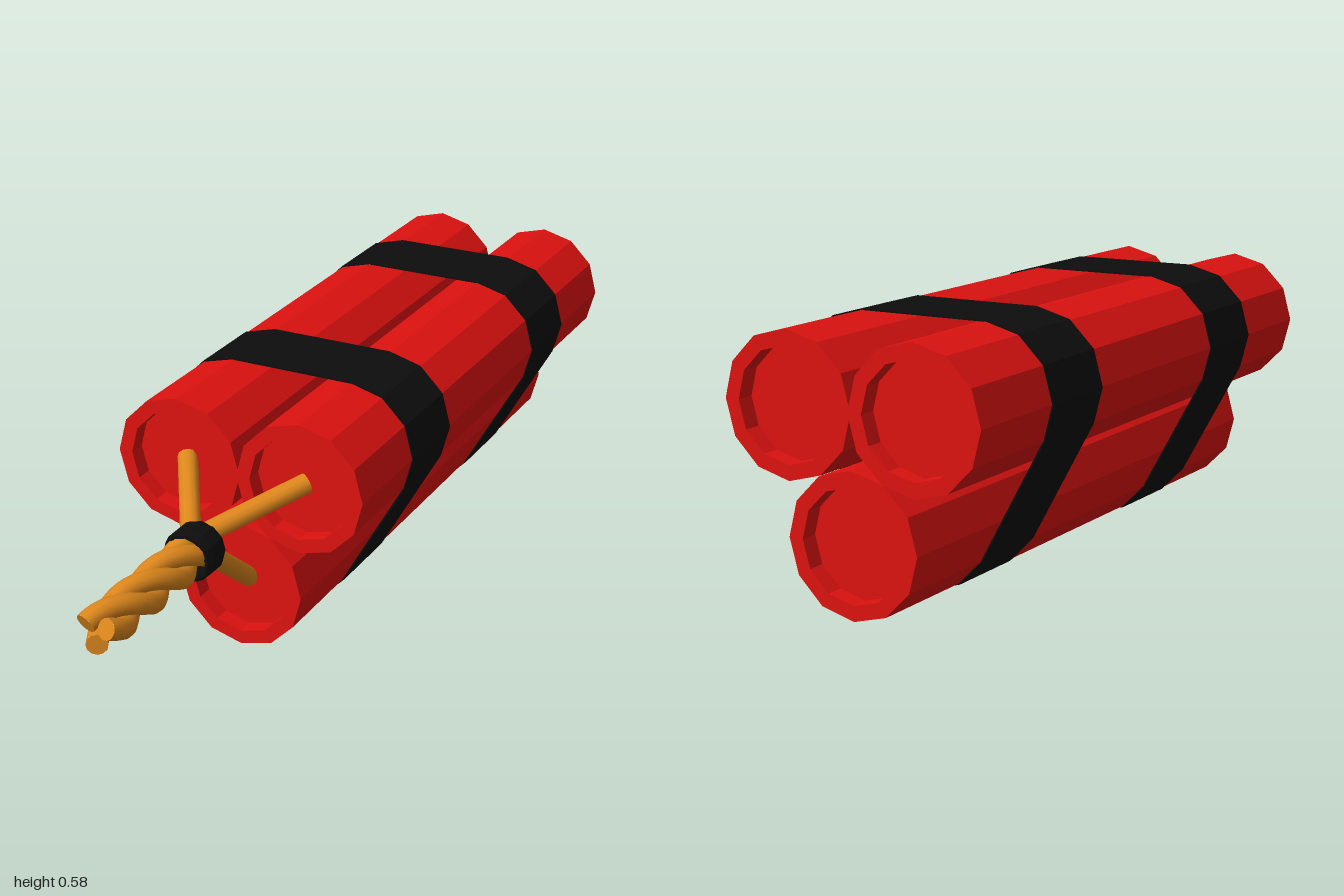
import * as THREE from 'three';

const STICK_R = 0.154, BAND_R = 0.157;
const BACK = -1, FRONT = 0.42, RECESS = 0.04;
const ROPE_Y = 0.331, TWIST_Z = 0.58, TIP_Z = 0.99;
// Stick centres with the angle (degrees) at which each faces away from the bundle
const STICKS = [
  { x: 0.15, y: 0.426, angle: 30 },
  { x: -0.15, y: 0.426, angle: 150 },
  { x: 0, y: 0.157, angle: 270 },
];
const rad = THREE.MathUtils.degToRad;

function addMesh(parent, name, geometry, material) {
  const mesh = new THREE.Mesh(geometry, material);
  mesh.name = name;
  parent.add(mesh);
  return mesh;
}

// Lathe about the z axis from [radius, z] pairs
function latheZ(points) {
  return new THREE.LatheGeometry(points.map(([r, z]) => new THREE.Vector2(r, z)), 12).rotateX(Math.PI / 2);
}

// Outline of a strap pulled tight around the three sticks
function strapOutline(r) {
  const points = [];
  for (const s of STICKS) {
    for (let a = -60; a <= 60; a += 30) {
      const t = rad(s.angle + a);
      points.push(new THREE.Vector2(s.x + r * Math.cos(t), s.y + r * Math.sin(t)));
    }
  }
  return points;
}

// Runs straight out of a stick, then winds around the rope axis
class StrandCurve extends THREE.Curve {
  constructor(stick) {
    super();
    this.stick = stick;
  }
  helix(z) {
    const turn = (z - TWIST_Z) / (TIP_Z - TWIST_Z);
    const a = rad(this.stick.angle + 50 + 430 * turn);
    return new THREE.Vector3(0.028 * Math.cos(a), ROPE_Y + 0.028 * Math.sin(a), z);
  }
  getPoint(t, target = new THREE.Vector3()) {
    const start = FRONT - RECESS;
    const z = start + (TIP_Z - start) * t;
    if (z >= TWIST_Z) return target.copy(this.helix(z));
    target.set(this.stick.x, this.stick.y, start);
    return target.lerp(this.helix(TWIST_Z), (z - start) / (TWIST_Z - start));
  }
}

export function createModel() {
  const model = new THREE.Group();
  model.name = 'stickBundle';
  const red = new THREE.MeshStandardMaterial({ color: 0xdd1210, flatShading: true });
  const black = new THREE.MeshStandardMaterial({ color: 0x0d0d0d, flatShading: true });
  const orange = new THREE.MeshStandardMaterial({ color: 0xdc861c });

  // Sticks with a recess at both ends
  const inner = 0.121;
  const stickGeometry = latheZ([
    [0, BACK + RECESS], [inner, BACK + RECESS], [inner, BACK], [STICK_R, BACK],
    [STICK_R, FRONT], [inner, FRONT], [inner, FRONT - RECESS], [0, FRONT - RECESS],
  ]);
  for (const s of STICKS) {
    addMesh(model, 'stick', stickGeometry, red).position.set(s.x, s.y, 0);
  }

  // Straps
  const strapShape = new THREE.Shape(strapOutline(BAND_R));
  strapShape.holes.push(new THREE.Path(strapOutline(STICK_R - 0.001).reverse()));
  const strapGeometry = new THREE.ExtrudeGeometry(strapShape, { depth: 0.2, bevelEnabled: false });
  addMesh(model, 'frontStrap', strapGeometry, black).position.z = -0.03;
  addMesh(model, 'backStrap', strapGeometry, black).position.z = -0.74;

  // Twisted fuse strands with closed tips
  const fuse = new THREE.Group();
  fuse.name = 'fuse';
  model.add(fuse);
  for (const s of STICKS) {
    const curve = new StrandCurve(s);
    addMesh(fuse, 'fuseStrand', new THREE.TubeGeometry(curve, 72, 0.023, 12), orange);
    const tip = addMesh(fuse, 'strandTip', new THREE.CircleGeometry(0.023, 12), orange);
    tip.position.copy(curve.getPoint(1));
    tip.lookAt(tip.position.clone().add(curve.getTangent(1)));
  }

  // Chamfered ring binding the strands
  const ring = addMesh(fuse, 'fuseRing', latheZ([
    [0.048, 0.575], [0.056, 0.575], [0.061, 0.59], [0.061, 0.628],
    [0.055, 0.648], [0.048, 0.648], [0.048, 0.575],
  ]), black);
  ring.position.y = ROPE_Y;

  return model;
}
